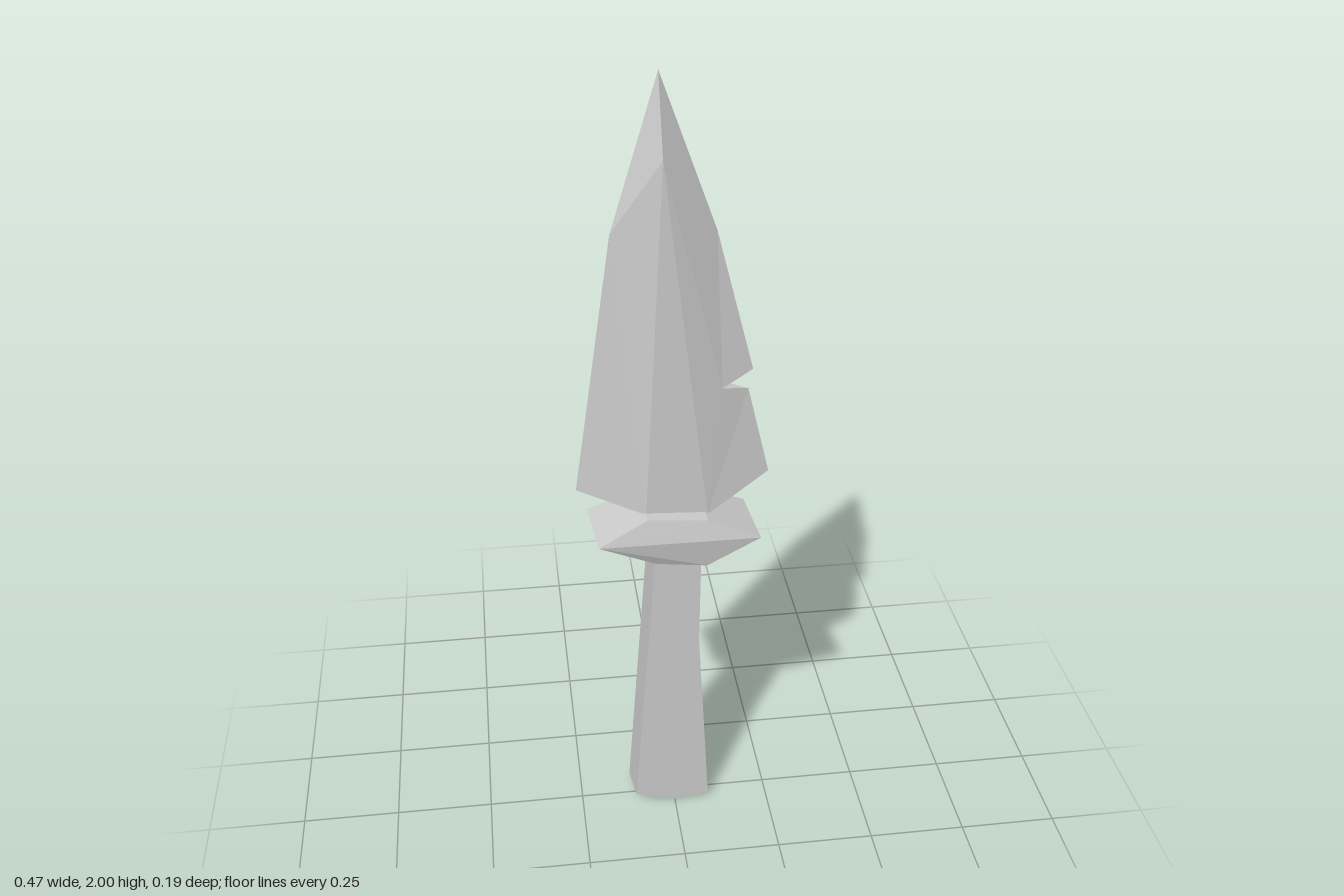
import * as THREE from 'three';
import { ConvexGeometry } from 'three/addons/geometries/ConvexGeometry.js';

const material = new THREE.MeshStandardMaterial({ color: 0xcccccc, flatShading: true });

function part(name, geometry) {
  const mesh = new THREE.Mesh(geometry, material);
  mesh.name = name;
  return mesh;
}

// Faceted blade: a flat central panel per side, bevels down to a sharp edge, and a nick
function bladeGeometry() {
  const EDGE = -0.006;
  const edge = {
    tip: [-0.03, 2.0], l1: [-0.14, 1.64], l2: [-0.235, 0.99],
    r1: [0.10, 1.64], n1: [0.19, 1.29], n2: [0.18, 1.24], r2: [0.235, 1.01],
  };
  // points with their front and back z
  const ridge = {
    top: [-0.026, 1.82, 0.04, -0.046],
    bl: [-0.07, 0.935, 0.041, -0.046],
    br: [0.08, 0.925, 0.041, -0.046],
    nick: [0.115, 1.255, 0.016, -0.024],
  };
  const positions = [];
  const point = (key, back) => {
    if (edge[key]) return [...edge[key], EDGE];
    const [x, y, f, b] = ridge[key];
    return [x, y, back ? b : f];
  };
  // a trailing * marks the back copy of a point
  const tri = (...keys) => keys.forEach((k) =>
    positions.push(...point(k.replace('*', ''), k.endsWith('*'))));

  const side = [
    ['top', 'bl', 'br'],
    ['tip', 'l1', 'top'], ['top', 'l1', 'bl'], ['l1', 'l2', 'bl'],
    ['tip', 'top', 'r1'], ['top', 'nick', 'r1'], ['r1', 'nick', 'n1'],
    ['top', 'br', 'nick'], ['nick', 'br', 'n2'], ['n2', 'br', 'r2'],
  ];
  for (const [a, b, c] of side) {
    tri(a, b, c);
    tri(a + '*', c + '*', b + '*');
  }
  // nick walls
  tri('n1', 'nick', 'nick*');
  tri('n2', 'nick*', 'nick');
  // underside
  tri('l2', 'bl*', 'bl');
  tri('bl', 'bl*', 'br*');
  tri('bl', 'br*', 'br');
  tri('r2', 'br', 'br*');

  const g = new THREE.BufferGeometry();
  g.setAttribute('position', new THREE.Float32BufferAttribute(positions, 3));
  g.computeVertexNormals();
  return g;
}

// Crossguard: a slightly twisted block, widest along its middle, pointed at both ends
function guardGeometry() {
  const v = (x, y, z) => new THREE.Vector3(x, y, z);
  return new ConvexGeometry([
    v(-0.19, 0.875, 0.083), v(-0.205, 0.875, -0.097),
    v(0.203, 0.882, 0.095), v(0.19, 0.882, -0.085),
    v(-0.07, 0.94, 0.073), v(-0.082, 0.94, -0.073),
    v(0.076, 0.932, 0.08), v(0.067, 0.932, -0.067),
    v(-0.05, 0.81, 0.07), v(-0.062, 0.81, -0.073),
    v(0.075, 0.8, 0.078), v(0.065, 0.8, -0.067),
  ]);
}

// Grip: flat bar flaring to a blunt, angled butt
function gripGeometry() {
  const outline = [
    [-0.105, 0.035], [0.0, 0.005], [0.091, 0.02], [0.062, 0.55], [0.066, 0.85], [-0.046, 0.85],
  ].map(([x, y]) => new THREE.Vector2(x, y));
  const g = new THREE.ExtrudeGeometry(new THREE.Shape(outline), { depth: 0.086, bevelEnabled: false });
  g.translate(0, 0, -0.043);
  // the back is skewed a little toward the left side of the front
  const p = g.attributes.position;
  for (let i = 0; i < p.count; i++) {
    if (p.getZ(i) < 0) p.setX(i, p.getX(i) - (p.getX(i) < -0.03 ? 0.011 : 0.004));
  }
  g.computeVertexNormals();
  return g;
}

export function createModel() {
  const group = new THREE.Group();
  group.name = 'dagger';
  group.add(
    part('blade', bladeGeometry()),
    part('crossguard', guardGeometry()),
    part('grip', gripGeometry()),
  );
  // rest on the ground
  group.children.forEach((m) => { m.position.y = -0.005; });
  return group;
}
